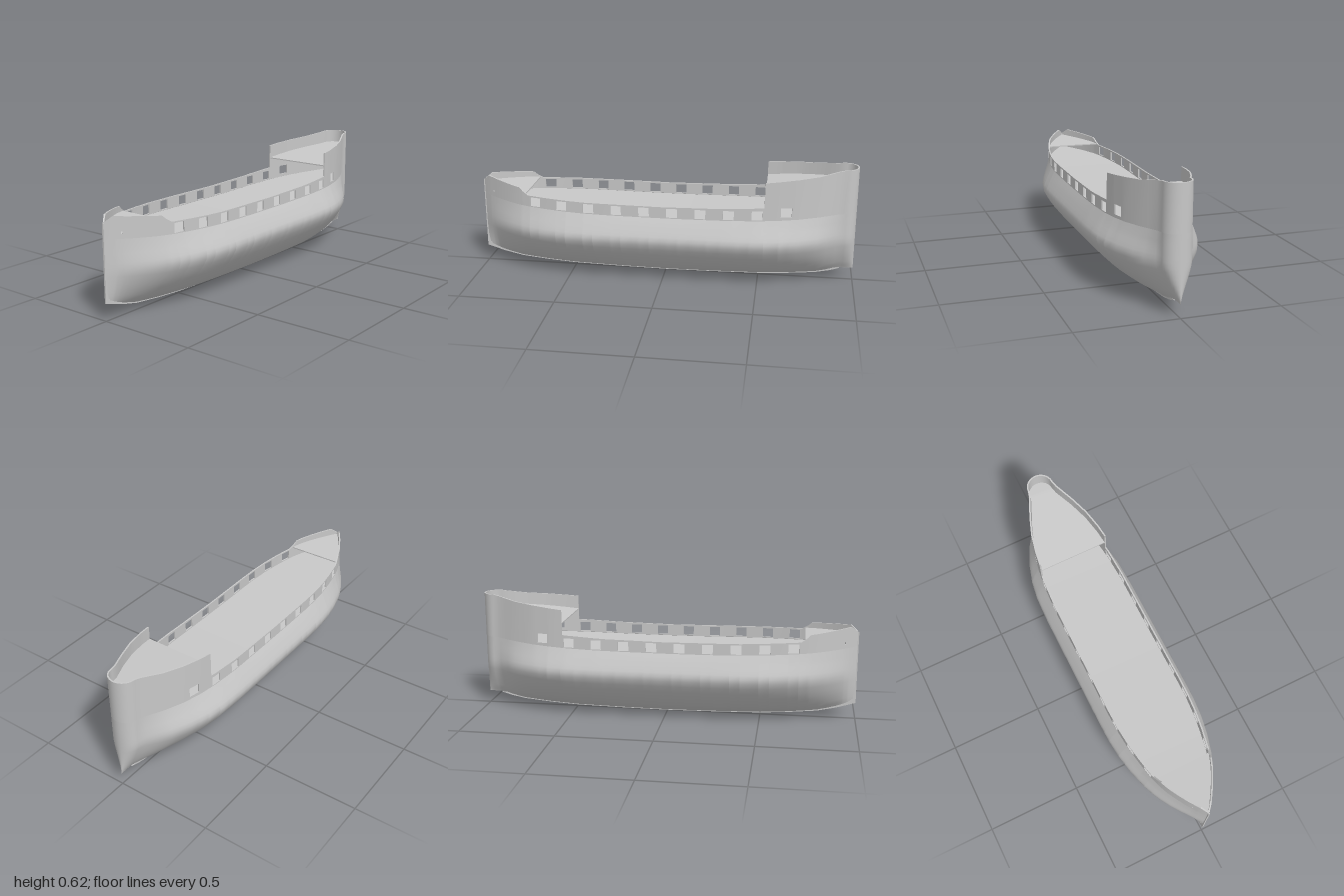
import * as THREE from 'three';
import { toCreasedNormals } from 'three/addons/utils/BufferGeometryUtils.js';

// Linear lookup in a table of [z, value] pairs, z falling from bow to stern
function lookup(table, z) {
  if (z >= table[0][0]) return table[0][1];
  for (let i = 1; i < table.length; i++) {
    const [z1, v1] = table[i], [z0, v0] = table[i - 1];
    if (z >= z1) return v0 + (v1 - v0) * (z0 - z) / (z0 - z1);
  }
  return table[table.length - 1][1];
}

const CAP_Z = -0.93, CAP_R = 0.07, WALL = 0.008;
// Half widths at the widest line and at deck level
const BEAM = [[0.994, 0.004], [0.96, 0.036], [0.9, 0.085], [0.85, 0.122], [0.8, 0.152], [0.75, 0.177], [0.7, 0.197],
  [0.6, 0.226], [0.5, 0.245], [0.4, 0.254], [0.3, 0.256], [-0.35, 0.256], [-0.5, 0.25], [-0.6, 0.234],
  [-0.7, 0.204], [-0.8, 0.16], [-0.85, 0.125], [-0.9, 0.085], [CAP_Z, 0.073]];
const DECK = [[0.994, 0.004], [0.96, 0.031], [0.9, 0.071], [0.85, 0.1], [0.8, 0.126], [0.75, 0.146], [0.7, 0.161],
  [0.6, 0.181], [0.5, 0.196], [0.4, 0.204], [0.3, 0.206], [-0.35, 0.205], [-0.5, 0.197], [-0.6, 0.184],
  [-0.7, 0.162], [-0.8, 0.126], [-0.85, 0.103], [-0.9, 0.08], [CAP_Z, 0.072]];
const KEEL = [[1, 0.09], [0.9, 0.06], [0.8, 0.038], [0.65, 0.023], [0.5, 0.013], [0.25, 0.007], [0, 0.004],
  [-0.25, 0.006], [-0.5, 0.011], [-0.65, 0.02], [-0.8, 0.034], [-0.88, 0.05], [-0.93, 0.066], [-1, 0.067]];
const RAIL = [[1, 0.47], [0.96, 0.502], [0.94, 0.499], [0.76, 0.48], [0.74, 0.462], [0.71, 0.443], [0.4, 0.434],
  [0, 0.43], [-0.3, 0.435], [-0.529, 0.446], [-0.531, 0.578], [-0.8, 0.602], [-0.93, 0.624], [-1, 0.625]];

const width = (table, z) => lookup(table, z) *
  (z < CAP_Z ? Math.sqrt(Math.max(0, 1 - ((z - CAP_Z) / CAP_R) ** 2)) : 1);
const sheer = z => 0.025 * z * z;
const hullTop = z => 0.37 + sheer(z);

// Openings in the bulwark: gun ports, one port under the poop, hawse holes
const ports = [{ z: -0.64, w: 0.056, lo: 0.396, hi: 0.445 }, { z: 0.93, w: 0.006, lo: 0.415, hi: 0.426 }];
for (let i = 0; i < 9; i++) {
  const z = 0.67 - i * 0.1455;
  ports.push({ z, w: 0.056, lo: 0.375 + sheer(z), hi: 0.423 + sheer(z) });
}

// Stations from bow to stern, with the rounded stern cap stepped by angle
function makeStations() {
  const set = new Set();
  const add = z => set.add(Math.round(z * 1000) / 1000);
  for (const t of [BEAM, RAIL]) t.forEach(([z]) => { if (z < 0.995) add(z); });
  for (let z = 0.95; z > CAP_Z; z -= 0.05) add(z);
  for (const p of ports) { add(p.z - p.w / 2); add(p.z + p.w / 2); }
  for (let i = 0; i <= 8; i++) add(CAP_Z - CAP_R * Math.sin(i / 8 * Math.PI / 2));
  return [...set].sort((a, b) => b - a);
}

function geometryFrom(positions, indices) {
  const g = new THREE.BufferGeometry();
  g.setAttribute('position', new THREE.Float32BufferAttribute(positions, 3));
  if (indices) g.setIndex(indices);
  g.computeVertexNormals();
  return g;
}

// Bow, round the stern, and back to the bow on the other side
function makeLoop(stations) {
  const left = stations.map(z => ({ z, s: 1 }));
  return left.concat(stations.slice(0, -1).reverse().map(z => ({ z, s: -1 })));
}

// Hull skin: the same cross-section rule at every station
function hullGeometry(loop) {
  const lower = [[0.01, 0], [0.09, 0.04], [0.29, 0.14], [0.45, 0.27], [0.6, 0.42], [0.72, 0.56],
    [0.82, 0.7], [0.92, 0.86], [0.985, 1]];
  const upper = [[0.26, 1], [0.28, 0.88], [0.3, 0.7], [0.32, 0.52], [0.345, 0.28], [null, 0]];
  const rows = lower.length + upper.length;
  const pos = [], idx = [];
  for (const { z, s } of loop) {
    const b = width(BEAM, z), d = width(DECK, z), k = lookup(KEEL, z);
    const power = 1 + 0.4 * (1 - lookup(BEAM, z) / 0.256);
    for (const [f, t] of lower) pos.push(s * b * f ** power, k + (0.235 - k) * t, z);
    for (const [y, g] of upper) pos.push(s * (d + (b - d) * g), y ?? hullTop(z), z);
  }
  for (let i = 0; i < loop.length - 1; i++) for (let j = 0; j < rows - 1; j++) {
    const a = i * rows + j, c = a + rows;
    idx.push(a, c, c + 1, a, c + 1, a + 1);
  }
  return geometryFrom(pos, idx);
}

// Bulwark: a thin wall of short blocks that leaves the ports open
function bulwarkGeometry(loop) {
  const pos = [];
  const outer = loop.map(({ z, s }) => new THREE.Vector2(s * width(DECK, z), z));
  const inner = outer.map((p, i) => {
    const a = outer[Math.max(0, i - 1)], b = outer[Math.min(outer.length - 1, i + 1)];
    const t = b.clone().sub(a).normalize();
    const q = new THREE.Vector2(p.x + t.y * WALL, p.y - t.x * WALL);
    if (q.x * loop[i].s < 0) q.x = 0;
    return q;
  });
  const quad = (a, b, c, d) => { for (const v of [a, b, c, a, c, d]) pos.push(...v); };
  const block = (i, lo, hi) => {
    const at = (list, k, fn) => [list[k].x, fn(loop[k].z), list[k].y];
    const [A, B, C, D] = [at(outer, i, lo), at(outer, i + 1, lo), at(outer, i + 1, hi), at(outer, i, hi)];
    const [E, F, G, H] = [at(inner, i, lo), at(inner, i + 1, lo), at(inner, i + 1, hi), at(inner, i, hi)];
    quad(A, B, C, D); quad(F, E, H, G); quad(D, C, G, H);
    quad(A, E, F, B); quad(A, D, H, E); quad(B, F, G, C);
  };
  const top = z => lookup(RAIL, z);
  for (let i = 0; i < loop.length - 1; i++) {
    const mid = (loop[i].z + loop[i + 1].z) / 2;
    const port = ports.find(p => Math.abs(mid - p.z) < p.w / 2);
    if (port) {
      block(i, hullTop, () => port.lo);
      block(i, () => port.hi, top);
    } else block(i, hullTop, top);
  }
  return toCreasedNormals(geometryFrom(pos), 0.5);
}

// Deck: a thin slab across the hull between two stations
function deckGeometry(stations, front, back, height, thick) {
  const zs = [front, ...stations.filter(z => z < front && z > back), back];
  const pos = [], idx = [];
  for (const z of zs) {
    const x = Math.max(0, width(DECK, z) - WALL * 0.5), y = height(z);
    pos.push(x, y, z, -x, y, z, -x, y - thick, z, x, y - thick, z);
  }
  for (let i = 0; i < zs.length - 1; i++) {
    for (let j = 0; j < 4; j++) {
      const a = i * 4 + j, b = i * 4 + (j + 1) % 4;
      idx.push(a, a + 4, b + 4, a, b + 4, b);
    }
  }
  const e = (zs.length - 1) * 4;
  idx.push(0, 1, 2, 0, 2, 3, e, e + 2, e + 1, e, e + 3, e + 2);
  return toCreasedNormals(geometryFrom(pos, idx), 0.5);
}

// Keel and stem: one narrow plate along the centre line
function keelGeometry() {
  const outline = [[0.985, 0.47], [1, 0.47], ...KEEL.slice(0, -1).map(([z, y]) => [z, y - 0.003])];
  const inside = KEEL.slice(1, -2).reverse().map(([z, y]) => [z, y + 0.012]);
  const shape = new THREE.Shape([...outline, ...inside, [0.985, 0.11]].map(([z, y]) => new THREE.Vector2(-z, y)));
  const g = new THREE.ExtrudeGeometry(shape, { depth: 0.008, bevelEnabled: false });
  return g.translate(0, 0, -0.004).rotateY(Math.PI / 2);
}

export function createModel() {
  const model = new THREE.Group();
  model.name = 'shipHull';
  const grey = new THREE.MeshStandardMaterial({ color: 0xc8c8c8, side: THREE.DoubleSide });
  grey.name = 'light grey';
  const add = (name, geometry) => {
    const mesh = new THREE.Mesh(geometry, grey);
    mesh.name = name;
    model.add(mesh);
  };
  const stations = makeStations(), loop = makeLoop(stations);
  add('hull', hullGeometry(loop));
  add('bulwark', bulwarkGeometry(loop));
  add('keelAndStem', keelGeometry());
  add('mainDeck', deckGeometry(stations, 0.985, -0.995, z => hullTop(z) - 0.002, 0.006));
  add('foredeck', deckGeometry(stations, 0.985, 0.725, z => 0.45 + (z - 0.725) * 0.06, 0.006));
  add('poopDeck', deckGeometry(stations, -0.53, -0.995, z => 0.508 + Math.min(0.4, -0.53 - z) * 0.118, 0.006));
  return model;
}
